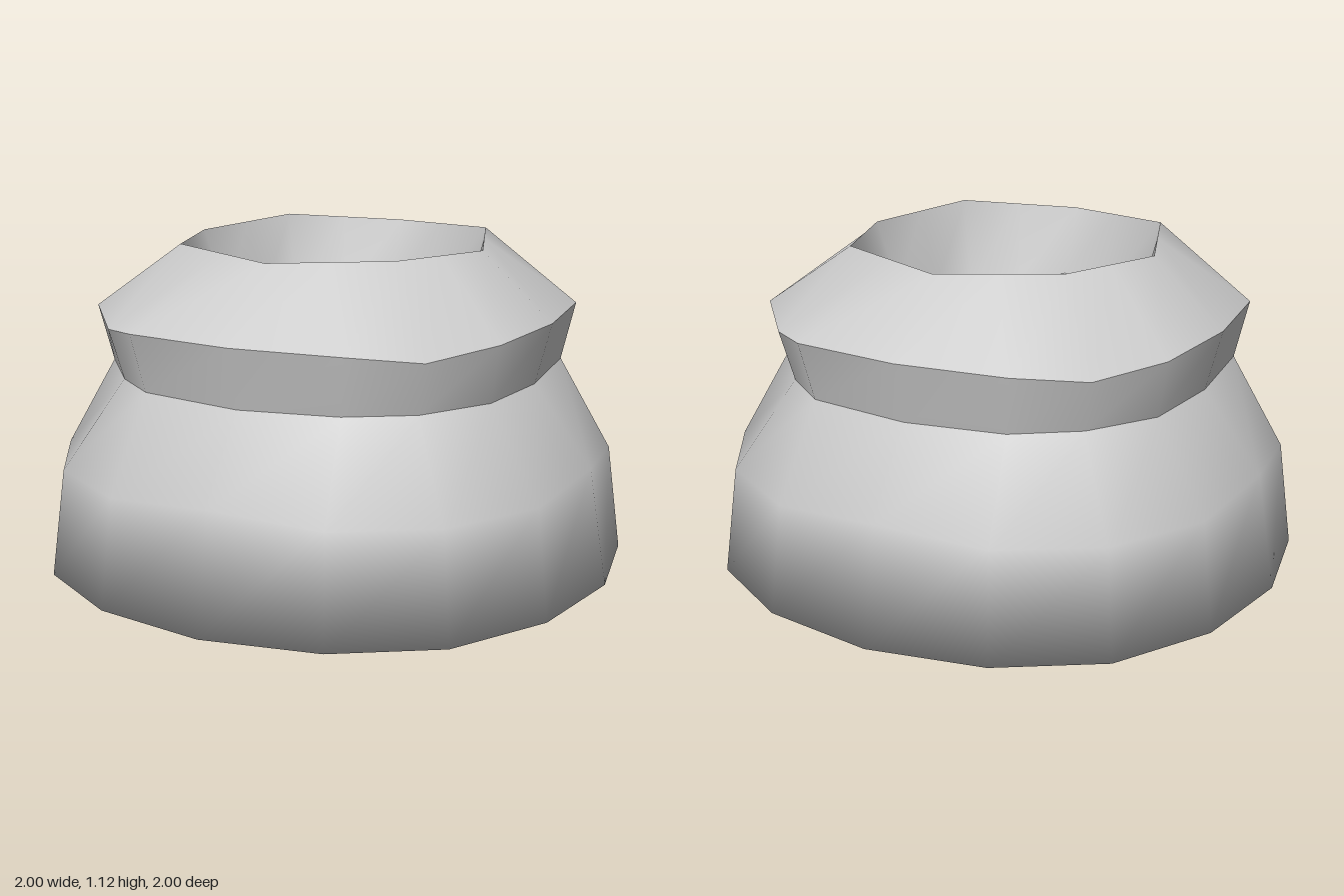
import * as THREE from 'three';

const material = new THREE.MeshStandardMaterial({ color: 0xcccccc });

// A 16-point ring given by one octant: the point on the axis [r, y],
// the point between [small, large, y] and the diagonal point [s, y] at (s, s).
function ring([r, ry], [s, l, my], [d, dy]) {
  const quarter = [[0, ry, r], [s, my, l], [d, dy, d], [l, my, s]];
  const points = [];
  for (let q = 0; q < 4; q++) {
    for (const [x, y, z] of quarter) {
      let px = x, pz = z;
      for (let k = 0; k < q; k++) [px, pz] = [pz, -px];
      points.push([px, y, pz]);
    }
  }
  return points;
}

// An eight-sided ring, with points halfway along each side.
function octagon(r, ry, d, dy) {
  return ring([r, ry], [d / 2, (r + d) / 2, (ry + dy) / 2], [d, dy]);
}

const centre = (y) => ring([0, y], [0, 0, y], [0, y]);

// Smooth skin through a list of rings; edges between skins stay sharp.
function skin(name, rings) {
  const n = 16;
  const index = [];
  for (let k = 0; k < rings.length - 1; k++) {
    for (let i = 0; i < n; i++) {
      const j = (i + 1) % n;
      const a = k * n + i, b = k * n + j, c = b + n, d = a + n;
      index.push(a, b, c, a, c, d);
    }
  }
  const geometry = new THREE.BufferGeometry();
  geometry.setAttribute('position', new THREE.Float32BufferAttribute(rings.flat(2), 3));
  geometry.setIndex(index);
  geometry.computeVertexNormals();
  const mesh = new THREE.Mesh(geometry, material);
  mesh.name = name;
  return mesh;
}

export function createModel() {
  const base = ring([1, 0], [0.4, 0.93, 0], [0.73, 0]);
  const belly = ring([0.935, 0.4], [0.38, 0.885, 0.37], [0.695, 0.37]);
  const waist = ring([0.73, 0.67], [0.35, 0.705, 0.682], [0.54, 0.67]);
  const brim = ring([0.785, 0.88], [0.38, 0.745, 0.88], [0.575, 0.845]);
  const mouth = octagon(0.535, 1.105, 0.395, 1.12);
  const floor = octagon(0.45, 0.873, 0.337, 0.79);

  const group = new THREE.Group();
  group.name = 'pot';
  group.add(
    skin('body', [centre(0), base, belly, waist]), // closed underneath
    skin('collar', [waist, brim]),
    skin('shoulder', [brim, mouth]),
    skin('wellWall', [mouth, floor]),
    skin('wellFloor', [floor, centre(0.87)])
  );
  return group;
}
